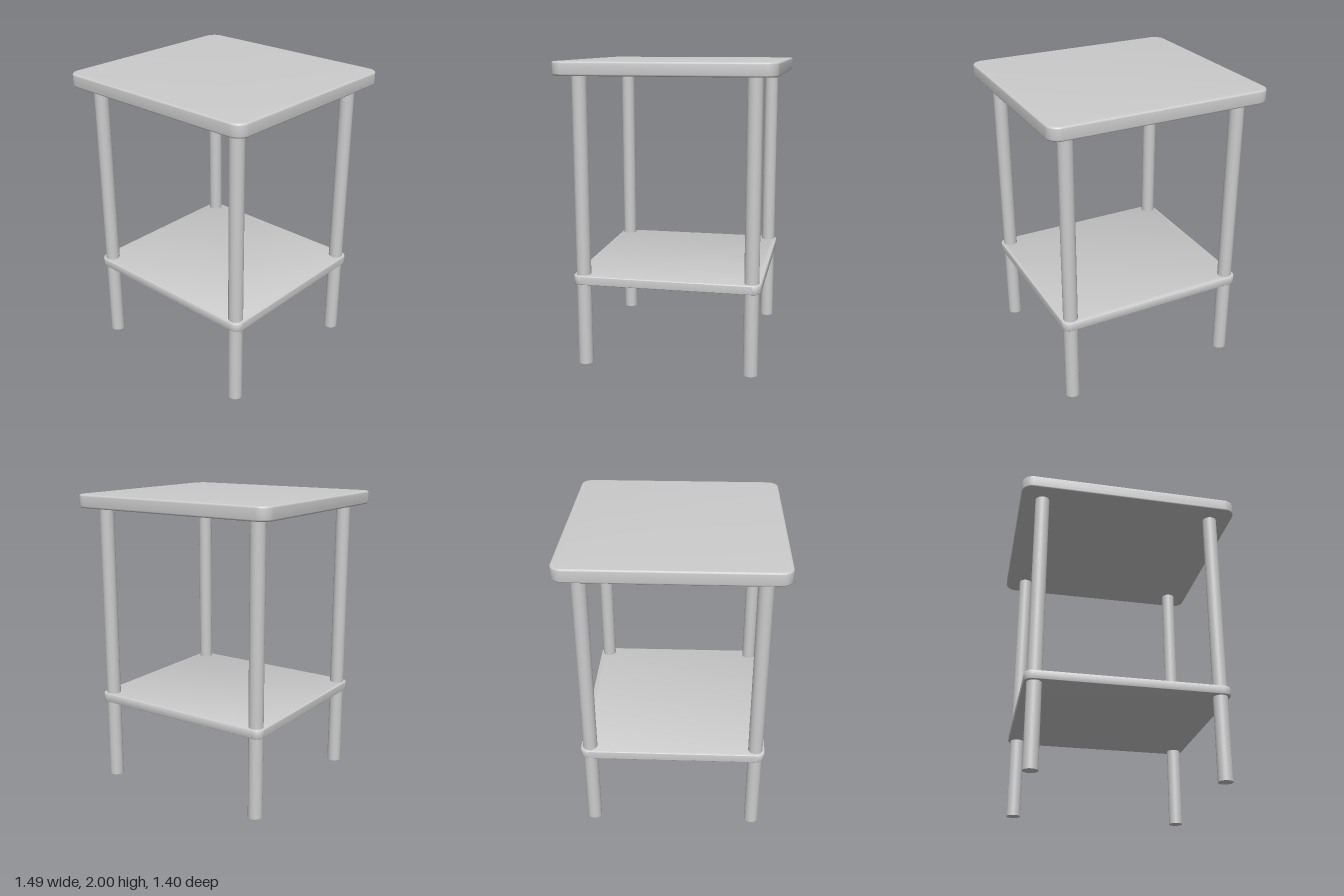
import * as THREE from 'three';
import { toCreasedNormals } from 'three/addons/utils/BufferGeometryUtils.js';

const material = new THREE.MeshStandardMaterial({ color: 0xcccccc });

// Horizontal board with rounded corners and softened edges, resting at height y
function board(name, width, depth, thickness, radius, bevel, y) {
  const x = width / 2 - bevel, z = depth / 2 - bevel, r = radius - bevel;
  const outline = new THREE.Shape();
  outline.absarc(x - r, z - r, r, 0, Math.PI / 2);
  outline.absarc(-x + r, z - r, r, Math.PI / 2, Math.PI);
  outline.absarc(-x + r, -z + r, r, Math.PI, Math.PI * 1.5);
  outline.absarc(x - r, -z + r, r, Math.PI * 1.5, Math.PI * 2);
  outline.closePath();
  const geometry = new THREE.ExtrudeGeometry(outline, {
    depth: thickness - 2 * bevel,
    bevelThickness: bevel,
    bevelSize: bevel,
    bevelSegments: 4,
    curveSegments: 10,
  });
  geometry.rotateX(-Math.PI / 2);
  geometry.translate(0, y + bevel, 0);
  const mesh = new THREE.Mesh(toCreasedNormals(geometry, Math.PI / 5), material);
  mesh.name = name;
  return mesh;
}

export function createModel() {
  const table = new THREE.Group();
  table.name = 'sideTable';

  // Table top and lower shelf
  table.add(board('tableTop', 1.486, 1.404, 0.088, 0.08, 0.012, 1.912));
  table.add(board('lowerShelf', 1.32, 1.235, 0.06, 0.055, 0.007, 0.557));

  // Four round legs running through the shelf up to the top
  const legHeight = 1.92;
  const legGeometry = new THREE.CylinderGeometry(0.048, 0.048, legHeight, 32);
  legGeometry.translate(0, legHeight / 2, 0);
  for (const [front, z] of [['front', 0.555], ['back', -0.555]]) {
    for (const [side, x] of [['Left', 0.595], ['Right', -0.595]]) {
      const leg = new THREE.Mesh(legGeometry, material);
      leg.name = `${front}${side}Leg`;
      leg.position.set(x, 0, z);
      table.add(leg);
    }
  }
  return table;
}
